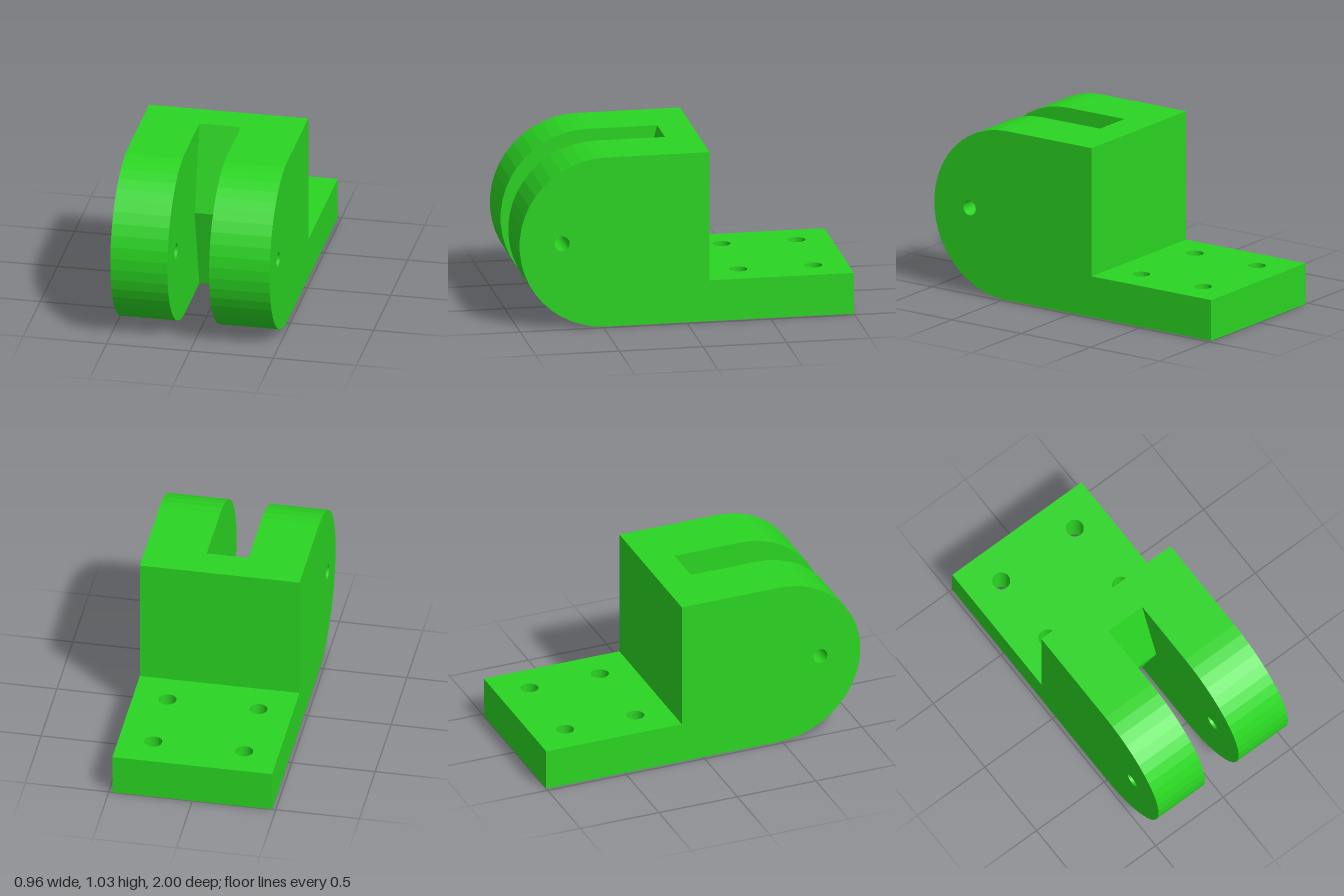
import * as THREE from 'three';

const HALF_W = 0.478, SLOT_L = -0.135, SLOT_R = 0.115; // widths along x
const BACK = -1, STEP = -0.137, PLATE_H = 0.25;        // base plate
const R = 0.5175, HEIGHT = 2 * R, CENTER_Z = 1 - R;    // rounded nose
const material = new THREE.MeshStandardMaterial({ color: 0x2ad422, flatShading: true });

function addHole(shape, x, y, r) {
  const hole = new THREE.Path();
  hole.absarc(x, y, r, 0, Math.PI * 2, true);
  shape.holes.push(hole);
}

function named(geometry, name) {
  const mesh = new THREE.Mesh(geometry, material);
  mesh.name = name;
  return mesh;
}

// Extrude a (z, y) side profile from x0 to x1
function sidePart(shape, x0, x1, name) {
  const geometry = new THREE.ExtrudeGeometry(shape, { depth: x1 - x0, bevelEnabled: false, curveSegments: 12 });
  geometry.rotateY(-Math.PI / 2).translate(x1, 0, 0);
  return named(geometry, name);
}

// Block profile with a faceted half-round nose and a pin hole
function cheekShape() {
  const points = [new THREE.Vector2(STEP, 0)];
  const facets = 23;
  for (let i = 0; i <= facets; i++) {
    const a = -Math.PI / 2 + (Math.PI * i) / facets;
    points.push(new THREE.Vector2(CENTER_Z + R * Math.cos(a), R + R * Math.sin(a)));
  }
  points.push(new THREE.Vector2(STEP, HEIGHT));
  const shape = new THREE.Shape(points);
  addHole(shape, 0.745, 0.52, 0.045);
  return shape;
}

export function createModel() {
  const group = new THREE.Group();
  group.name = 'clevisBracket';

  // Two cheeks either side of the slot
  group.add(sidePart(cheekShape(), -HALF_W, SLOT_L, 'rightCheek'));
  group.add(sidePart(cheekShape(), SLOT_R, HALF_W, 'leftCheek'));

  // Web behind the slot, with a shallow V-shaped front
  const web = new THREE.Shape([
    [STEP, 0], [0.063, 0], [0.2, R], [0.063, HEIGHT], [STEP, HEIGHT],
  ].map(([z, y]) => new THREE.Vector2(z, y)));
  group.add(sidePart(web, SLOT_L, SLOT_R, 'slotWeb'));

  // Base plate with four screw holes
  const plate = new THREE.Shape([
    [-HALF_W, BACK], [HALF_W, BACK], [HALF_W, STEP], [-HALF_W, STEP],
  ].map(([x, z]) => new THREE.Vector2(x, z)));
  for (const x of [-0.272, 0.272])
    for (const z of [-0.795, -0.347]) addHole(plate, x, z, 0.053);
  const plateGeometry = new THREE.ExtrudeGeometry(plate, { depth: PLATE_H, bevelEnabled: false, curveSegments: 12 });
  plateGeometry.rotateX(Math.PI / 2).translate(0, PLATE_H, 0);
  group.add(named(plateGeometry, 'basePlate'));

  return group;
}
